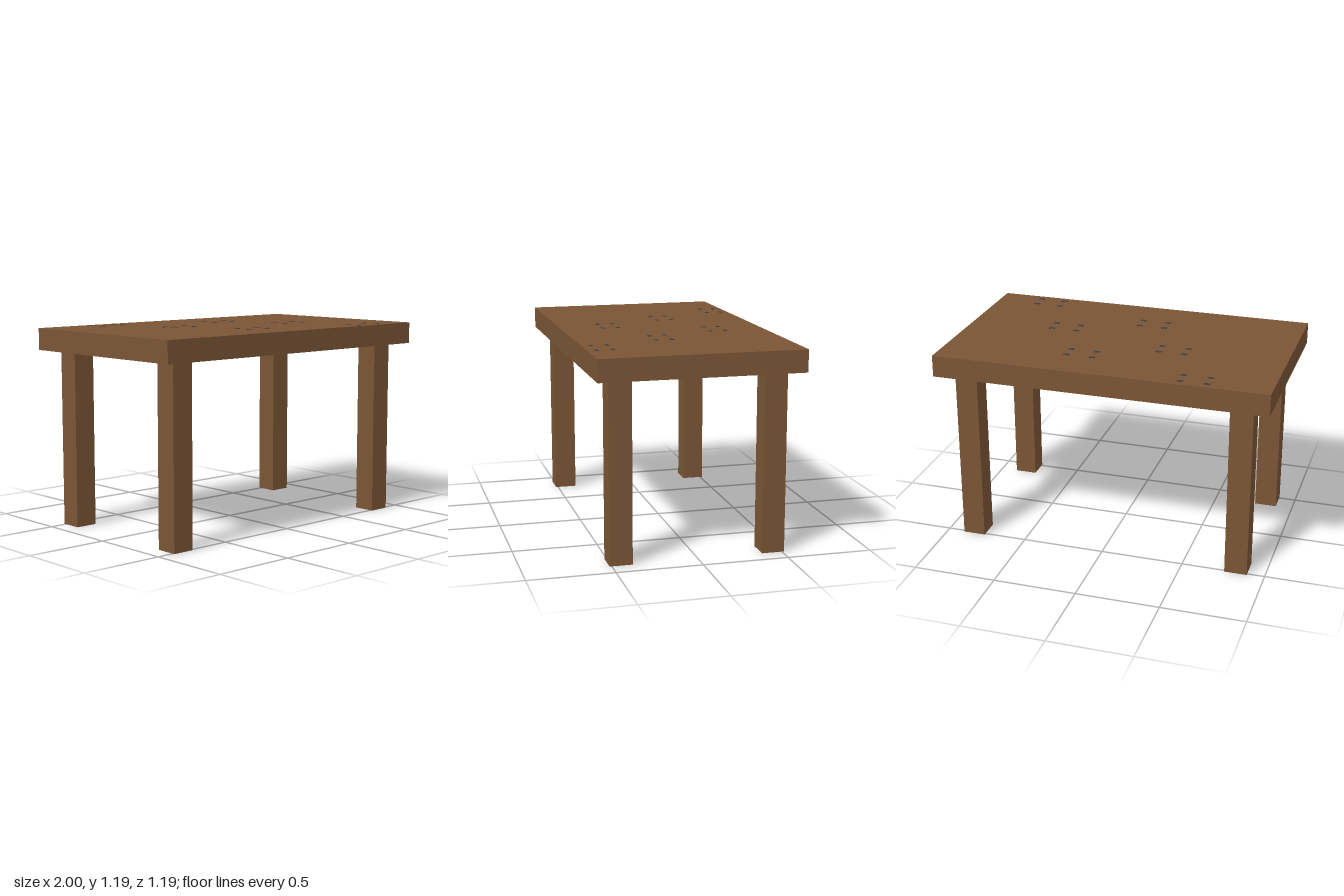
import * as THREE from 'three';

export function createModel() {
  const wood = new THREE.MeshStandardMaterial({ color: 0x7a5535 });
  wood.name = 'brown wood';
  const metal = new THREE.MeshStandardMaterial({ color: 0x3a4147 });
  metal.name = 'dark grey';

  const model = new THREE.Group();
  model.name = 'table';

  const addBox = (parent, name, material, size, position) => {
    const mesh = new THREE.Mesh(new THREE.BoxGeometry(...size), material);
    mesh.name = name;
    mesh.position.set(...position);
    parent.add(mesh);
  };

  // Thick slab top
  addBox(model, 'tableTop', wood, [2, 0.13, 1.186], [0, 1.127, 0]);

  // Four square legs
  for (const [side, sx] of [['Left', 1], ['Right', -1]]) {
    for (const [end, sz] of [['front', 1], ['back', -1]]) {
      addBox(model, `${end}${side}Leg`, wood, [0.135, 1.062, 0.133], [sx * 0.828, 0.531, sz * 0.447]);
    }
  }

  // Six staggered sets of four small pegs, just proud of both faces of the slab
  const centres = [
    [-0.555, -0.498], [0.18, -0.3], [-0.322, -0.1],
    [0.413, 0.095], [-0.09, 0.295], [0.66, 0.495],
  ];
  centres.forEach(([x, z], i) => {
    const set = new THREE.Group();
    set.name = `pegSet${i + 1}`;
    for (const dx of [-0.078, 0.078]) {
      for (const dz of [-0.046, 0.046]) {
        addBox(set, 'peg', metal, [0.036, 0.134, 0.021], [x + dx, 1.127, z + dz]);
      }
    }
    model.add(set);
  });

  return model;
}
